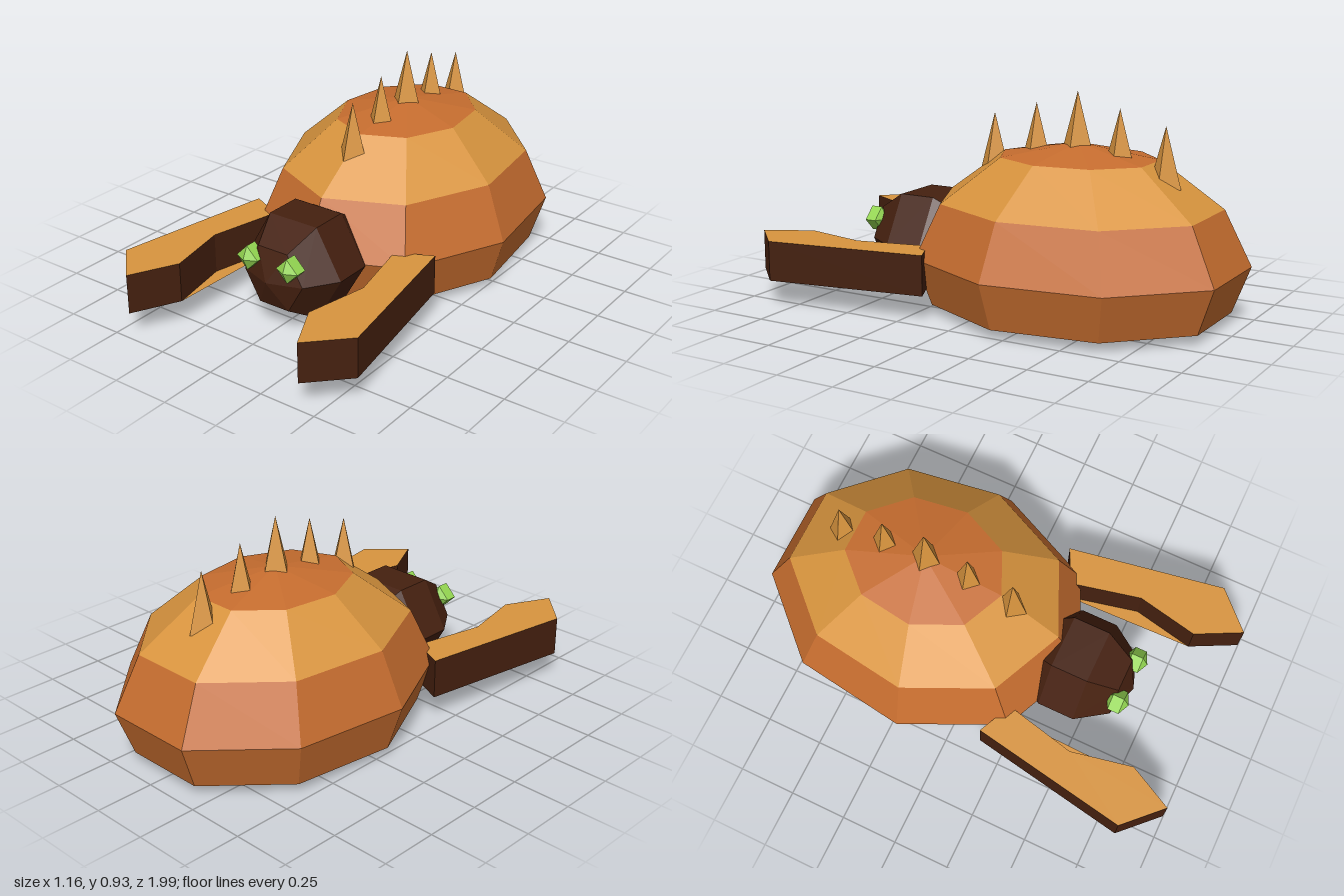
import * as THREE from 'three';

const paint = (name, color) => {
  const m = new THREE.MeshStandardMaterial({ color });
  m.name = name;
  return m;
};

// Give every face its own flat normal
function faceted(geometry) {
  const g = geometry.index ? geometry.toNonIndexed() : geometry;
  g.computeVertexNormals();
  return g;
}

export function createModel() {
  const amber = paint('amber', 0xd8943e);
  const orange = paint('orange', 0xc66d2f);
  const brown = paint('dark brown', 0x45200f);
  const green = paint('green', 0x92d450);

  const model = new THREE.Group();
  model.name = 'spikedBeetle';

  const add = (name, geometry, material, x = 0, y = 0, z = 0) => {
    const mesh = new THREE.Mesh(faceted(geometry), material);
    mesh.name = name;
    mesh.position.set(x, y, z);
    model.add(mesh);
    return mesh;
  };

  // Nine-sided oval shell, split into colour bands of [radius, height]
  const bands = [
    ['shellBase', orange, [[0, 0], [0.896, 0.04], [1, 0.235], [0.84, 0.465]]],
    ['shellBand', amber, [[0.84, 0.465], [0.475, 0.655]]],
    ['shellCrown', orange, [[0.475, 0.655], [0, 0.715]]],
  ];
  for (const [name, material, profile] of bands) {
    const points = profile.map(([r, y]) => new THREE.Vector2(r, y));
    const g = new THREE.LatheGeometry(points, 9).scale(0.586, 1, 0.728);
    add(name, g, material, 0, 0, -0.315);
  }

  // Row of four-sided spikes along the back: [z, tip height]
  const spikes = [[0.08, 0.81], [-0.12, 0.865], [-0.31, 0.925], [-0.5, 0.865], [-0.7, 0.81]];
  for (const [z, tip] of spikes) {
    add('spike', new THREE.ConeGeometry(0.07, 0.25, 4), amber, 0, tip - 0.125, z);
  }

  // Six-sided head with its pole facing forward
  const head = new THREE.SphereGeometry(0.247, 6, 5).rotateX(Math.PI / 2).scale(1, 1, 1.06);
  add('head', head, brown, 0, 0.235, 0.4);

  // Claw outline as [x, z]; the last three points frame the inner notch
  const outline = [[0.46, 0.15], [0.58, 0.84], [0.425, 0.995], [0.325, 0.8], [0.38, 0.53], [0.31, 0.22]];
  const shapeOf = (points, sx, sy) =>
    new THREE.Shape(points.map(([x, z]) => new THREE.Vector2(x * sx, z * sy)));
  const top = 0.28, bottom = 0.11;

  for (const [label, s] of [['left', 1], ['right', -1]]) {
    // Eyes
    const eye = new THREE.SphereGeometry(0.061, 4, 3).rotateX(Math.PI / 2).scale(1, 1, 0.82);
    add(label + 'Eye', eye, green, s * 0.1, 0.312, 0.625);

    // Claws with amber faces and dark edges
    const claw = new THREE.ExtrudeGeometry(shapeOf(outline, s, 1), { depth: top - bottom, bevelEnabled: false });
    add(label + 'Claw', claw.rotateX(Math.PI / 2), [amber, brown], 0, top, 0);

    // Inward-facing webs closing the notch
    const notch = outline.slice(3);
    const lid = new THREE.ShapeGeometry(shapeOf(notch, s, 1)).rotateX(Math.PI / 2);
    const floor = new THREE.ShapeGeometry(shapeOf(notch, s, -1)).rotateX(-Math.PI / 2);
    add(label + 'ClawUpperWeb', lid, amber, 0, top, 0);
    add(label + 'ClawLowerWeb', floor, amber, 0, bottom, 0);
  }

  return model;
}
